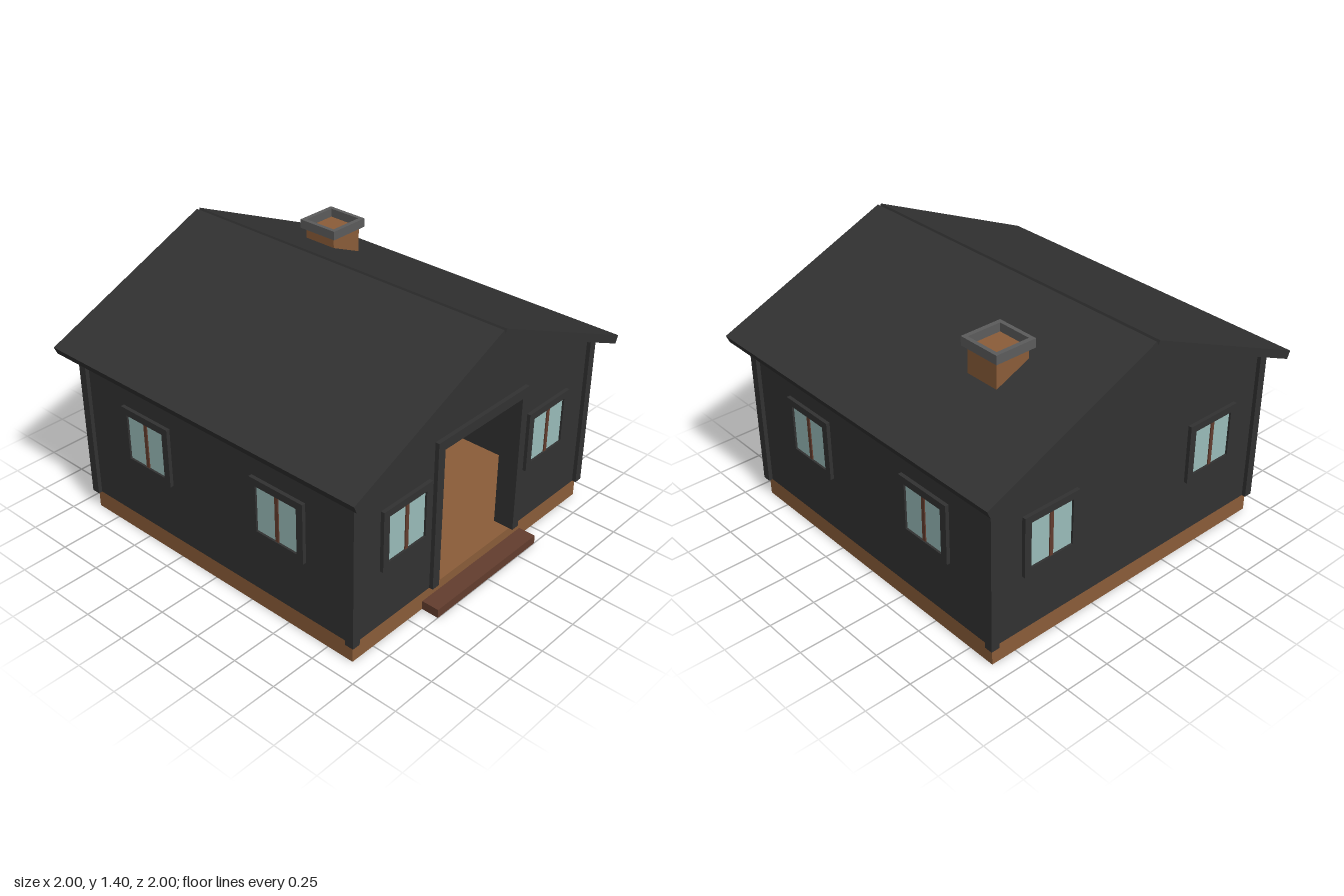
import * as THREE from 'three';

export function createModel() {
  const house = new THREE.Group();
  house.name = 'house';

  const paint = (name, color) => {
    const m = new THREE.MeshStandardMaterial({ color });
    m.name = name;
    return m;
  };
  const charcoal = paint('charcoal', 0x323232);
  const timber = paint('timber', 0x8b5d39);
  const darkWood = paint('darkWood', 0x633d2e);
  const glass = paint('glass', 0x9abdba);
  const stone = paint('stone', 0x5c5c5c);

  const add = (parent, name, geometry, material, x = 0, y = 0, z = 0) => {
    const mesh = new THREE.Mesh(geometry, material);
    mesh.name = name;
    mesh.position.set(x, y, z);
    parent.add(mesh);
    return mesh;
  };

  // Box given by its lower and upper corners
  const box = (parent, name, material, [x0, y0, z0], [x1, y1, z1]) =>
    add(parent, name, new THREE.BoxGeometry(x1 - x0, y1 - y0, z1 - z0), material,
      (x0 + x1) / 2, (y0 + y1) / 2, (z0 + z1) / 2);

  const polygon = (points) => new THREE.Shape(points.map(([x, y]) => new THREE.Vector2(x, y)));
  const extrude = (shape, depth) => new THREE.ExtrudeGeometry(shape, { depth, bevelEnabled: false });
  const rect = (w, h) => polygon([[-w / 2, -h / 2], [w / 2, -h / 2], [w / 2, h / 2], [-w / 2, h / 2]]);

  // Rectangular frame with a rectangular hole, centred on the origin
  const frame = (w, h, innerW, innerH, depth) => {
    const shape = rect(w, h);
    shape.holes.push(rect(innerW, innerH));
    return extrude(shape, depth);
  };

  const X = 0.893, Z = 0.903, BASE = 0.1, EAVE = 0.965, PEAK = 1.325, WALL = 0.09;

  // Foundation and front step
  box(house, 'foundation', timber, [-X, 0, -Z], [X, BASE, Z]);
  box(house, 'frontStep', darkWood, [-0.394, 0, Z - 0.003], [0.394, 0.048, 1]);

  // Gable walls: the front one is cut out for the doorway
  const backShape = polygon([[-X, BASE], [X, BASE], [X, EAVE], [0, PEAK], [-X, EAVE]]);
  const frontShape = polygon([[-X, BASE], [-0.298, BASE], [-0.298, 0.878], [0.298, 0.878],
    [0.298, BASE], [X, BASE], [X, EAVE], [0, PEAK], [-X, EAVE]]);
  add(house, 'frontWall', extrude(frontShape, WALL), charcoal, 0, 0, Z - WALL);
  add(house, 'backWall', extrude(backShape, WALL), charcoal, 0, 0, -Z);

  // Side walls and corner posts
  for (const s of [-1, 1]) {
    add(house, 'sideWall', new THREE.BoxGeometry(WALL, EAVE - BASE, 2 * (Z - WALL)), charcoal,
      s * (X - WALL / 2), (EAVE + BASE) / 2, 0);
    for (const t of [-1, 1]) {
      add(house, 'cornerPost', new THREE.BoxGeometry(0.046, 0.86, 0.047), charcoal,
        s * 0.892, BASE + 0.43, t * 0.901);
    }
  }

  // Door frame: two jambs and a lintel
  const door = new THREE.Group();
  door.name = 'doorFrame';
  house.add(door);
  box(door, 'leftJamb', charcoal, [0.297, BASE, 0.81], [0.345, 0.93, 0.925]);
  box(door, 'rightJamb', charcoal, [-0.345, BASE, 0.81], [-0.297, 0.93, 0.925]);
  box(door, 'lintel', charcoal, [-0.297, 0.877, 0.81], [0.297, 0.93, 0.925]);

  // Windows, two on every wall
  const addWindow = (x, z, turn) => {
    const w = new THREE.Group();
    w.name = 'window';
    add(w, 'windowFrame', frame(0.337, 0.33, 0.258, 0.252, 0.024), charcoal, 0, 0, -0.004);
    add(w, 'windowGlass', new THREE.BoxGeometry(0.26, 0.254, 0.008), glass, 0, 0, 0.005);
    add(w, 'windowMullion', new THREE.BoxGeometry(0.021, 0.254, 0.009), darkWood, 0, 0, 0.0105);
    w.position.set(x, 0.583, z);
    w.rotation.y = turn;
    house.add(w);
  };
  for (const s of [-1, 1]) {
    addWindow(s * 0.545, Z, 0);
    addWindow(s * 0.545, -Z, Math.PI);
    addWindow(X, s * 0.449, Math.PI / 2);
    addWindow(-X, s * 0.449, -Math.PI / 2);
  }

  // Roof slabs, square-ended so a narrow groove runs along the ridge
  const slab = [[-0.008, 1.359], [0.982, 0.929], [1, 0.97], [0.01, 1.4]];
  add(house, 'leftRoof', extrude(polygon(slab), 2), charcoal, 0, 0, -1);
  add(house, 'rightRoof', extrude(polygon(slab.map(([x, y]) => [-x, y])), 2), charcoal, 0, 0, -1);

  // Chimney with an open stone collar
  box(house, 'chimney', timber, [0.349, 1.1, -0.547], [0.545, 1.312, -0.351]);
  const collar = add(house, 'chimneyCollar', frame(0.236, 0.24, 0.192, 0.192, 0.048), stone,
    0.446, 1.31, -0.449);
  collar.rotation.x = -Math.PI / 2;

  return house;
}
